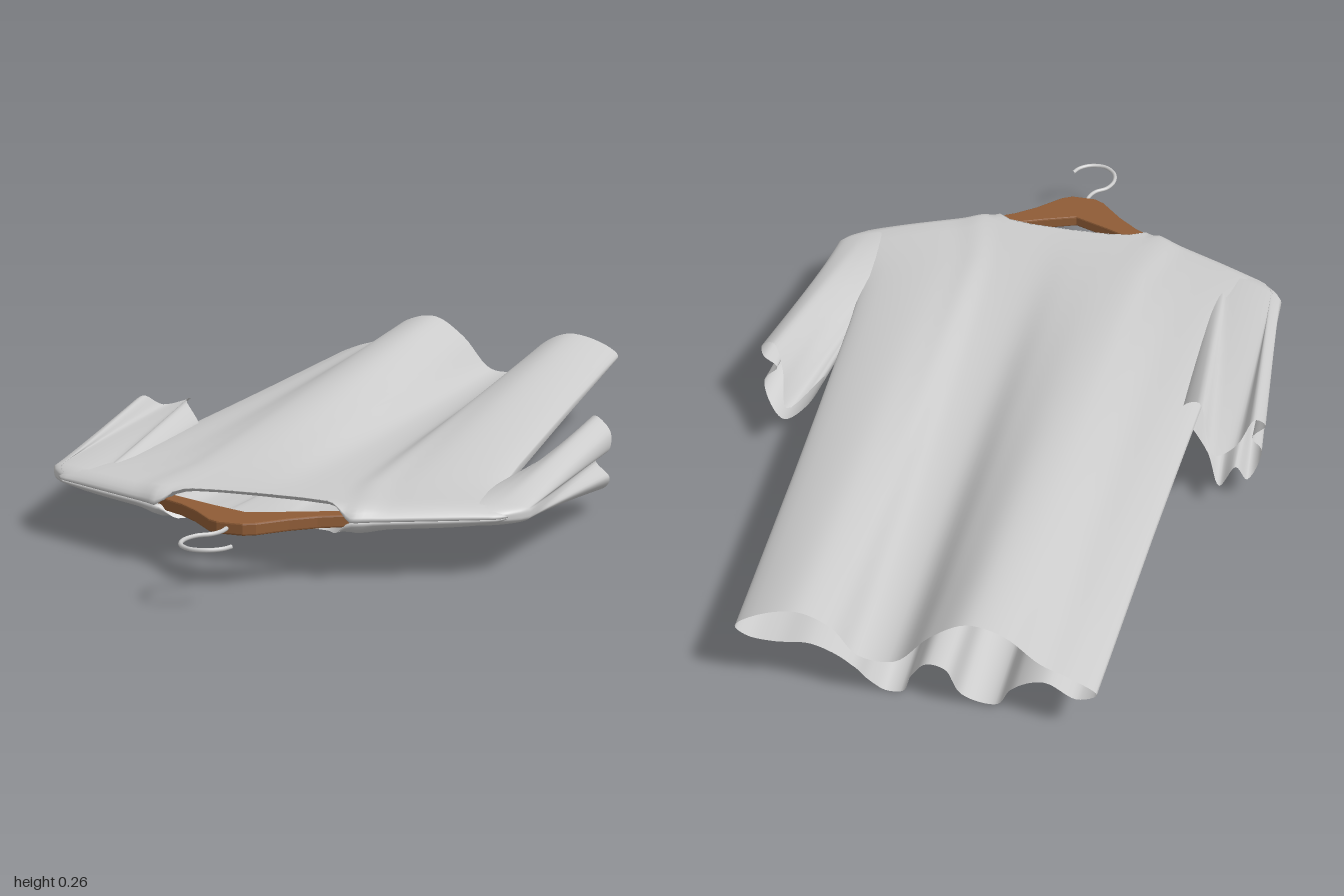
import * as THREE from 'three';

const { lerp, clamp, smoothstep } = THREE.MathUtils;
const MID = 0.142; // height of the plane the garment lies in

const cloth = new THREE.MeshStandardMaterial({ color: 0xcccccc, side: THREE.DoubleSide });
const metal = new THREE.MeshStandardMaterial({ color: 0xcccccc });
const wood = new THREE.MeshStandardMaterial({ color: 0x8f5c36 });

// piecewise linear lookup in a list of [key, value]
function lookup(table, k) {
  for (let i = 1; i < table.length; i++) {
    const [a, va] = table[i - 1], [b, vb] = table[i];
    if (k <= b) return lerp(va, vb, clamp((k - a) / (b - a), 0, 1));
  }
  return table[table.length - 1][1];
}

// skin a list of closed rings, all with the same number of points
function loft(rings) {
  const n = rings[0].length, index = [];
  for (let r = 0; r < rings.length - 1; r++) {
    for (let i = 0; i < n; i++) {
      const a = r * n + i, b = r * n + (i + 1) % n;
      index.push(a, a + n, b, b, a + n, b + n);
    }
  }
  const g = new THREE.BufferGeometry();
  g.setAttribute('position', new THREE.Float32BufferAttribute(rings.flat(2), 3));
  g.setIndex(index);
  g.computeVertexNormals();
  return g;
}

// sample a smooth closed loop through the given points
function loop(points, steps) {
  const curve = new THREE.CatmullRomCurve3(points.map(p => new THREE.Vector3(p[0], p[1], p[2] ?? 0)), true);
  const n = points.length * steps;
  return Array.from({ length: n }, (_, i) => curve.getPoint(i / n));
}

function mesh(name, geometry, material) {
  const m = new THREE.Mesh(geometry, material);
  m.name = name;
  return m;
}

// Body: from the shoulder and neck line, down to a deeply folded hem
function bodyGeometry() {
  const upper = [[0.385, 0.18], [0.345, 0.212], [0.25, 0.235], [0.175, 0.2], [0.12, 0.13], [0.04, 0.125],
    [-0.04, 0.21], [-0.12, 0.26], [-0.2, 0.245], [-0.28, 0.185], [-0.35, 0.16]];
  const lower = [[-0.405, 0.13], [-0.36, 0.105], [-0.29, 0.135], [-0.22, 0.1], [-0.18, 0.02], [-0.14, 0.015],
    [-0.1, 0.04], [-0.075, 0.12], [-0.03, 0.13], [0.005, 0.085], [0.032, 0.012], [0.07, 0.006],
    [0.105, 0.045], [0.135, 0.1], [0.22, 0.148], [0.3, 0.145], [0.36, 0.155]];
  const steps = 6, hem = loop([...upper, ...lower], steps);
  const topLine = [[0, 0.635], [0.1, 0.638], [0.165, 0.648], [0.19, 0.672], [0.23, 0.69], [0.27, 0.668],
    [0.4, 0.61], [0.52, 0.555], [0.55, 0.51]];
  const width = [[0, 0.55], [0.03, 0.545], [0.08, 0.505], [0.13, 0.47], [0.25, 0.455], [0.6, 0.425], [1, 0.3975]];
  // the first row is the neck edge, rolled inwards
  const rows = [-0.012, 0, 0.002, 0.007, 0.014, 0.025, 0.05, 0.08, 0.13, 0.18, 0.25, 0.35, 0.5, 0.65, 0.8, 0.9, 1];
  return loft(rows.map(row => hem.map((p, i) => {
    const v = Math.abs(row), roll = row < 0 ? 0.65 : 1;
    const u = clamp((p.x + 0.0075) / 0.3975, -1, 1), across = Math.abs(u) * 0.55;
    const side = i < upper.length * steps ? 1 : -1;
    // shoulders close in a round edge, the neck stays open
    const closed = smoothstep(across, 0.18, 0.23) * (1 - Math.sqrt(clamp(row / 0.022, 0, 1)));
    const half = 0.033 - 0.006 * smoothstep(across, 0.24, 0.3);
    const thick = half * roll * Math.sqrt(1 - u ** 8) * (1 - closed);
    const hemZ = -0.992 + 0.018 * (1 - u * u) - 0.008 * u + 0.35 * Math.max(0, 0.1 - p.y);
    const y = lerp(MID + side * thick, p.y, side > 0 ? v : v ** 1.12);
    return [u * lookup(width, v) - 0.0075 * v, y, lerp(lookup(topLine, across), hemZ, v)];
  })));
}

// Sleeve: rounded at the shoulder, open and crumpled at the cuff
function sleeveGeometry(cuffPoints, s) {
  const cuff = loop(cuffPoints, 6);
  const cx = 0.485 * s, cuffX = 0.535 * s;
  // [position along the sleeve, size of the section]
  const rows = [[-0.05, 0.02], [-0.045, 0.35], [-0.035, 0.62], [-0.02, 0.85], [0, 1], [0.1, 1], [0.25, 1],
    [0.4, 1], [0.55, 1], [0.7, 1], [0.85, 1], [0.95, 1], [1, 1]];
  return loft(rows.map(([t, size]) => cuff.map(p => {
    const a = Math.atan2((p.y - 0.135) / 0.09, (p.x - cuffX) / 0.08);
    const k = Math.max(0, t), sin = Math.sin(a);
    const sx = cx + 0.087 * size * Math.cos(a);
    const sy = MID + 0.024 * size * Math.sign(sin) * Math.abs(sin) ** 0.6;
    const sz = 0.518 - (Math.abs(sx) - 0.49) * 0.45 - Math.min(0, t) * 0.9;
    return [lerp(sx, p.x, k), lerp(sy, p.y, k ** 1.1), lerp(sz, p.z, k)];
  })));
}

// Wooden hanger, symmetrical outline drawn in x and z
function hangerGeometry() {
  const top = [[0.03, 0.815], [0.055, 0.802], [0.11, 0.745], [0.16, 0.705], [0.22, 0.672], [0.36, 0.605], [0.5, 0.535]];
  const under = [[0.5, 0.51], [0.35, 0.57], [0.18, 0.65], [0.08, 0.692], [0, 0.722]];
  const half = [...top, ...under];
  const mirrored = half.slice(0, -1).reverse().map(([x, z]) => [-x, z]);
  const shape = new THREE.Shape([...half, ...mirrored].map(p => new THREE.Vector2(...p)));
  const g = new THREE.ExtrudeGeometry(shape, {
    depth: 0.02, bevelSize: 0.003, bevelThickness: 0.004, bevelOffset: -0.003, bevelSegments: 2,
  });
  return g.rotateX(Math.PI / 2).translate(0, MID + 0.01, 0);
}

function hookGeometry() {
  const path = [[-0.008, 0.8], [-0.008, 0.84], [-0.02, 0.868], [-0.045, 0.89], [-0.058, 0.925], [-0.05, 0.965],
    [-0.02, 0.99], [0.018, 0.988], [0.045, 0.968], [0.056, 0.945]];
  const curve = new THREE.CatmullRomCurve3(path.map(([x, z]) => new THREE.Vector3(x, MID, z)));
  return new THREE.TubeGeometry(curve, 48, 0.005, 8);
}

export function createModel() {
  const group = new THREE.Group();
  group.name = 'shirtOnHanger';

  const leftCuff = [[0.578, 0.137, -0.045], [0.61, 0.165, -0.045], [0.61, 0.205, -0.055], [0.57, 0.235, -0.08],
    [0.532, 0.205, -0.14], [0.508, 0.145, -0.205], [0.458, 0.13, -0.045], [0.488, 0.075, -0.09],
    [0.54, 0.045, -0.125], [0.59, 0.062, -0.085], [0.61, 0.1, -0.05]];
  const rightCuff = [[-0.415, 0.14, 0], [-0.41, 0.155, 0], [-0.455, 0.198, -0.035], [-0.515, 0.17, -0.185],
    [-0.56, 0.165, -0.13], [-0.59, 0.198, -0.07], [-0.615, 0.17, -0.05], [-0.585, 0.13, -0.05],
    [-0.61, 0.095, -0.05], [-0.588, 0.06, -0.12], [-0.56, 0.1, -0.13], [-0.53, 0.07, -0.17],
    [-0.49, 0.105, -0.1], [-0.42, 0.12, 0]];

  group.add(
    mesh('body', bodyGeometry(), cloth),
    mesh('leftSleeve', sleeveGeometry(leftCuff, 1), cloth),
    mesh('rightSleeve', sleeveGeometry(rightCuff, -1), cloth),
    mesh('hanger', hangerGeometry(), wood),
    mesh('hook', hookGeometry(), metal),
  );
  return group;
}
